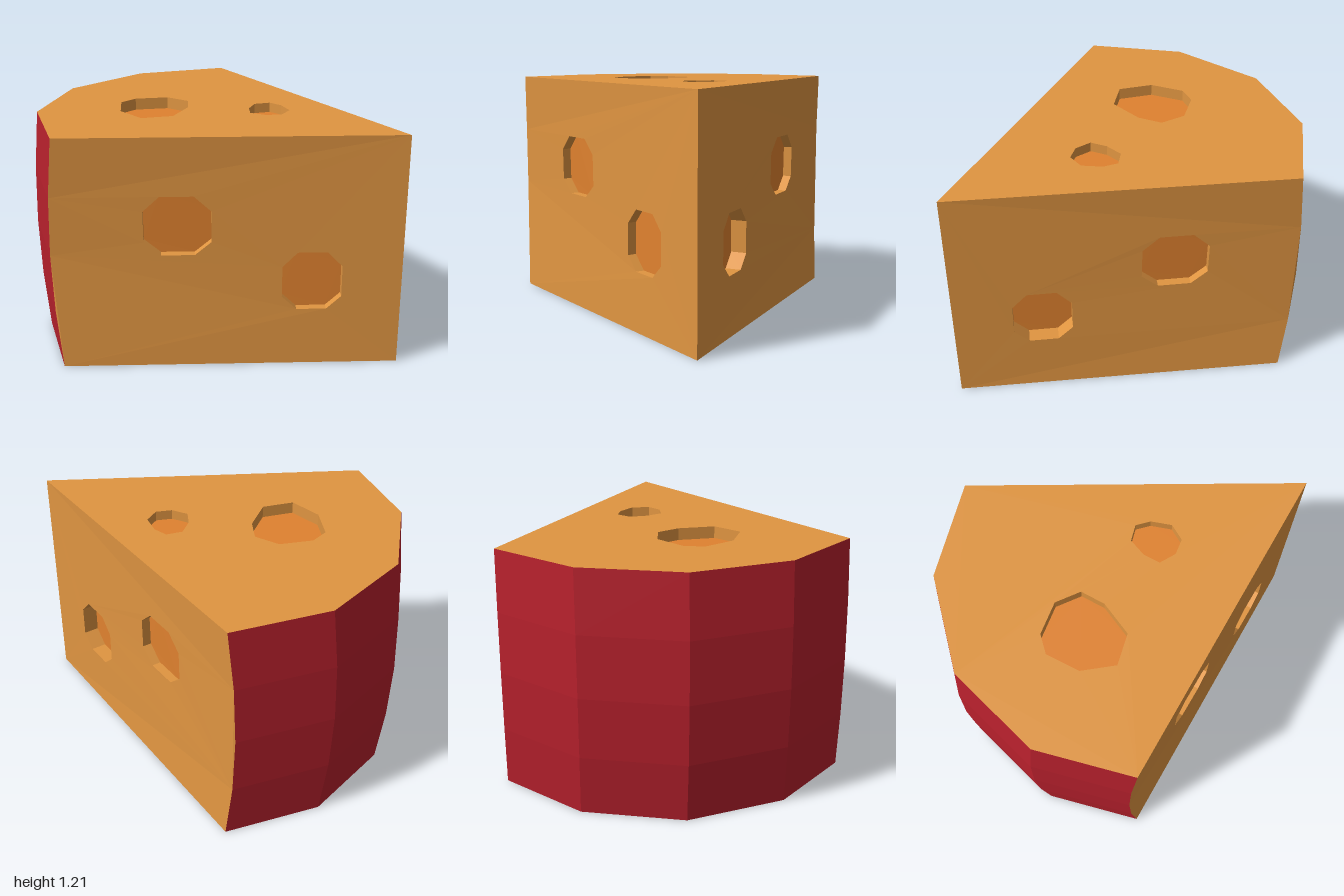
import * as THREE from 'three';

const H = 1.205, W = 0.845, CORNER = -0.47;
const ROWS = [0, 0.25, 0.5, 0.75, 1].map(t => t * H);
// how far the rind swells towards -x at height y
const bulge = y => 0.045 * (1 - ((y - H / 2) / (H / 2)) ** 2);
// rind outline from back corner to front corner
const ARC = [[CORNER, -W], [-0.82, -0.49], [-0.955, 0], [-0.82, 0.49], [CORNER, W]];

const material = (name, color) => {
  const m = new THREE.MeshStandardMaterial({ color, flatShading: true });
  m.name = name;
  return m;
};

function mesh(name, geometry, mat) {
  geometry.computeVertexNormals();
  const m = new THREE.Mesh(geometry, mat);
  m.name = name;
  return m;
}

const toVectors = pts => pts.map(([u, v]) => new THREE.Vector2(u, v));

// flat shape whose (u, v) points are placed in space by map(u, v, depth)
function mappedShape(points, holes, map, depth) {
  const shape = new THREE.Shape(points);
  shape.holes = holes.map(h => new THREE.Path(h));
  const geo = new THREE.ShapeGeometry(shape);
  const p = geo.attributes.position;
  for (let i = 0; i < p.count; i++) p.setXYZ(i, ...map(p.getX(i), p.getY(i), depth));
  return geo;
}

// a face with sunken holes: skin, hole walls and hole floors
function holedFace(name, outline, holes, map, cheese, floorMat) {
  const group = new THREE.Group();
  group.name = name;
  const rims = holes.map(h => {
    const pts = toVectors(h.points);
    return THREE.ShapeUtils.isClockWise(pts) ? pts.reverse() : pts;
  });
  group.add(mesh(name + 'Skin', mappedShape(toVectors(outline), rims, map, 0), cheese));
  rims.forEach((rim, k) => {
    const depth = holes[k].depth, pos = [];
    rim.forEach((a, i) => {
      const b = rim[(i + 1) % rim.length];
      const a0 = map(a.x, a.y, 0), b0 = map(b.x, b.y, 0);
      const a1 = map(a.x, a.y, depth), b1 = map(b.x, b.y, depth);
      pos.push(...a0, ...b0, ...b1, ...a0, ...b1, ...a1);
    });
    const walls = new THREE.BufferGeometry();
    walls.setAttribute('position', new THREE.Float32BufferAttribute(pos, 3));
    group.add(mesh('holeWall', walls, cheese));
    group.add(mesh('holeFloor', mappedShape(rim, [], map, depth), floorMat));
  });
  return group;
}

// octagonal hole in a side, centred on (x, y)
function octagon(x, y, rx, ry) {
  return [[-1, -0.55], [-0.5, -1], [0.5, -1], [1, -0.55], [1, 0.5], [0.5, 1], [-0.5, 1], [-1, 0.5]]
    .map(([a, b]) => [x + a * rx, y + b * ry]);
}

// side = 1 for the front, -1 for the back
function sideFace(name, side, depths, cheese, floorMat) {
  const map = (u, y, d) => {
    const x = u * side;
    const z = W * (1 - x) / (1 - CORNER + bulge(y));
    return [x - d * 0.5, y, side * (z - d * 0.866)];
  };
  const mirror = pts => pts.map(([x, y]) => [x * side, y]);
  const outline = [[1, 0], [1, H], ...[...ROWS].reverse().map(y => [CORNER - bulge(y), y])];
  const holes = [
    { points: mirror(octagon(0.03, 0.753, 0.145, 0.153)), depth: depths[0] },
    { points: mirror(octagon(0.61, 0.455, 0.13, 0.153)), depth: depths[1] },
  ];
  return holedFace(name, mirror(outline), holes, map, cheese, floorMat);
}

function rindGeometry() {
  const pos = [], index = [], n = ARC.length;
  for (const y of ROWS) for (const [x, z] of ARC) pos.push(x - bulge(y), y, z);
  for (let i = 0; i < ROWS.length - 1; i++) {
    for (let j = 0; j < n - 1; j++) {
      const a = i * n + j, b = a + 1, c = b + n, d = a + n;
      index.push(a, b, c, a, c, d);
    }
  }
  const geo = new THREE.BufferGeometry();
  geo.setAttribute('position', new THREE.Float32BufferAttribute(pos, 3));
  geo.setIndex(index);
  return geo;
}

export function createModel() {
  const cheese = material('cheese', 0xe09541);
  const floorMat = material('holeOrange', 0xe0822f);
  const red = material('rindRed', 0xb6202c);
  const model = new THREE.Group();
  model.name = 'cheeseWedge';

  model.add(mesh('rind', rindGeometry(), red));

  // sides
  model.add(sideFace('frontSide', 1, [0.045, 0.045], cheese, floorMat));
  model.add(sideFace('backSide', -1, [0.045, 0.08], cheese, floorMat));

  // top with two irregular holes, points given as x, z
  const flip = pts => pts.map(([x, z]) => [x, -z]);
  const wedge = [[1, 0], ...ARC];
  const bigHole = [[-0.385, -0.075], [-0.25, -0.06], [-0.185, 0.05], [-0.165, 0.235],
    [-0.285, 0.345], [-0.45, 0.28], [-0.545, 0.13], [-0.52, 0.03]];
  const smallHole = [[0.15, -0.23], [0.225, -0.21], [0.305, -0.14], [0.305, -0.05],
    [0.24, 0], [0.15, 0], [0.105, -0.075], [0.09, -0.17]];
  model.add(holedFace('top', flip(wedge),
    [{ points: flip(bigHole), depth: 0.06 }, { points: flip(smallHole), depth: 0.05 }],
    (u, v, d) => [u, H - d, -v], cheese, floorMat));

  // bottom
  model.add(holedFace('bottom', wedge, [], (u, v) => [u, 0, v], cheese, floorMat));
  return model;
}
